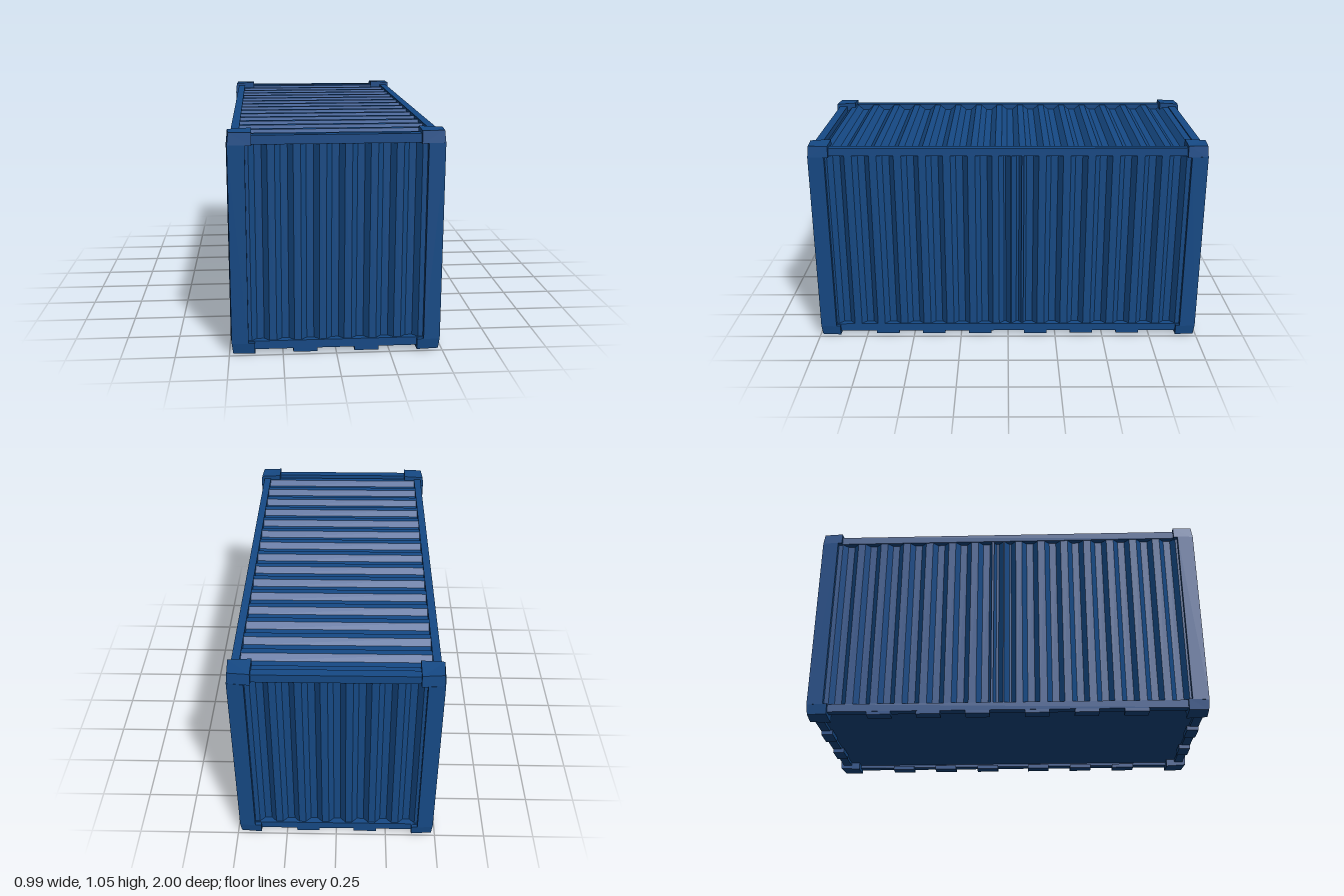
import * as THREE from 'three';

const paint = new THREE.MeshStandardMaterial({ color: 0x164a86, flatShading: true, side: THREE.DoubleSide });

function add(group, name, geometry) {
  const mesh = new THREE.Mesh(geometry, paint);
  mesh.name = name;
  group.add(mesh);
  return mesh;
}

// Box given by its minimum and maximum corners
function box(x0, x1, y0, y1, z0, z1) {
  return new THREE.BoxGeometry(x1 - x0, y1 - y0, z1 - z0)
    .translate((x0 + x1) / 2, (y0 + y1) / 2, (z0 + z1) / 2);
}

// Pulls in the outermost vertical edge and the outer rims at top and bottom
function pinch(geometry) {
  const p = geometry.attributes.position;
  for (let i = 0; i < p.count; i++) {
    let x = p.getX(i), y = p.getY(i), z = p.getZ(i);
    const outX = x > 0.48, outZ = z > 0.98;
    const end = y < 0.03 ? -1 : y > 1.03 ? 1 : 0;
    if (outX && outZ) { x -= 0.007; z -= 0.008; }
    if (end && outX) x -= 0.006;
    if (end && outZ) z -= 0.006;
    if (end && (outX || outZ)) y -= end * 0.006;
    p.setXYZ(i, x, y, z);
  }
  return geometry;
}

// Trapezoid wave: [position, depth] pairs; each rib falls, stays in, rises again
function wave(start, end, ribs, ramp, depth) {
  const points = [[start, 0]];
  for (const [at, inner] of ribs) {
    points.push([at, 0], [at + ramp, depth], [at + ramp + inner, depth], [at + 2 * ramp + inner, 0]);
  }
  points.push([end, 0]);
  return points;
}

// Sweeps a wave between two edges; place(s, depth, t) gives the 3D position
function corrugated(points, t0, t1, place) {
  const pos = [], index = [];
  points.forEach(([s, d], i) => {
    pos.push(...place(s, d, t0), ...place(s, d, t1));
    if (i) index.push(2 * i - 2, 2 * i - 1, 2 * i, 2 * i - 1, 2 * i + 1, 2 * i);
  });
  const g = new THREE.BufferGeometry();
  g.setAttribute('position', new THREE.Float32BufferAttribute(pos, 3));
  g.setIndex(index);
  g.computeVertexNormals();
  return g;
}

export function createModel() {
  const model = new THREE.Group();
  model.name = 'shippingContainer';

  // Corner posts with a fitting at each end
  for (const sx of [1, -1]) for (const sz of [1, -1]) {
    const corner = new THREE.Group();
    corner.name = 'cornerPost';
    add(corner, 'post', pinch(box(0.41, 0.495, 0.06, 0.995, 0.91, 1)));
    add(corner, 'bottomFitting', pinch(box(0.38, 0.495, 0.003, 0.062, 0.89, 1)));
    add(corner, 'topFitting', pinch(box(0.38, 0.495, 0.993, 1.057, 0.89, 1)));
    corner.scale.set(sx, 1, sz);
    model.add(corner);
  }

  // Long sides: rails, ribbed wall with a narrow rib at the seam, and pads
  const sideRibs = [];
  for (let i = 0; i < 7; i++) sideRibs.push([-0.9 + i * 0.1225, 0.035]);
  sideRibs.push([-0.047, 0.01], [0.018, 0.012]);
  for (let i = 0; i < 7; i++) sideRibs.push([0.068 + i * 0.1225, 0.035]);
  const sideWave = wave(-0.92, 0.92, sideRibs, 0.025, 0.027);
  for (const sx of [1, -1]) {
    const side = new THREE.Group();
    side.name = sx > 0 ? 'leftSide' : 'rightSide';
    add(side, 'topRail', box(0.437, 0.475, 0.997, 1.037, -0.91, 0.91));
    add(side, 'bottomRail', box(0.43, 0.475, 0.025, 0.065, -0.91, 0.91));
    add(side, 'wall', corrugated(sideWave, 0.05, 1.01, (s, d, t) => [0.47 - d, t, -s]));
    for (const z of [0.64, 0.395, 0.15, -0.145, -0.39, -0.635]) {
      add(side, 'sidePad', box(0.415, 0.474, 0.009, 0.03, z - 0.06, z + 0.06));
    }
    side.scale.x = sx;
    model.add(side);
  }

  // Ends: rails, ribbed wall and pads
  const endRibs = [];
  for (let i = 0; i < 7; i++) endRibs.push([-0.395 + i * 0.1165, 0.033]);
  const endWave = wave(-0.42, 0.42, endRibs, 0.025, 0.025);
  for (const sz of [1, -1]) {
    const end = new THREE.Group();
    end.name = sz > 0 ? 'frontEnd' : 'backEnd';
    add(end, 'topRail', box(-0.42, 0.42, 0.995, 1.037, 0.938, 0.98));
    add(end, 'bottomRail', box(-0.42, 0.42, 0.025, 0.065, 0.935, 0.98));
    add(end, 'wall', corrugated(endWave, 0.05, 1.01, (s, d, t) => [s, t, 0.973 - d]));
    for (const x of [-0.145, 0.143]) {
      add(end, 'endPad', box(x - 0.057, x + 0.057, 0.006, 0.03, 0.92, 0.979));
    }
    end.scale.z = sz;
    model.add(end);
  }

  // Ribbed roof between the top rails
  const roofRibs = [];
  for (let i = 0; i < 15; i++) roofRibs.push([-0.905 + i * 0.1212, 0.033]);
  const roofWave = wave(-0.94, 0.91, roofRibs, 0.028, 0.025);
  roofWave.push([0.938, 0.025]);
  add(model, 'roof', corrugated(roofWave, -0.44, 0.44, (s, d, t) => [t, 1.031 - d, s]));

  // Floor plate set inside the bottom rails
  add(model, 'floor', box(-0.44, 0.44, 0.04, 0.058, -0.945, 0.945));

  return model;
}
